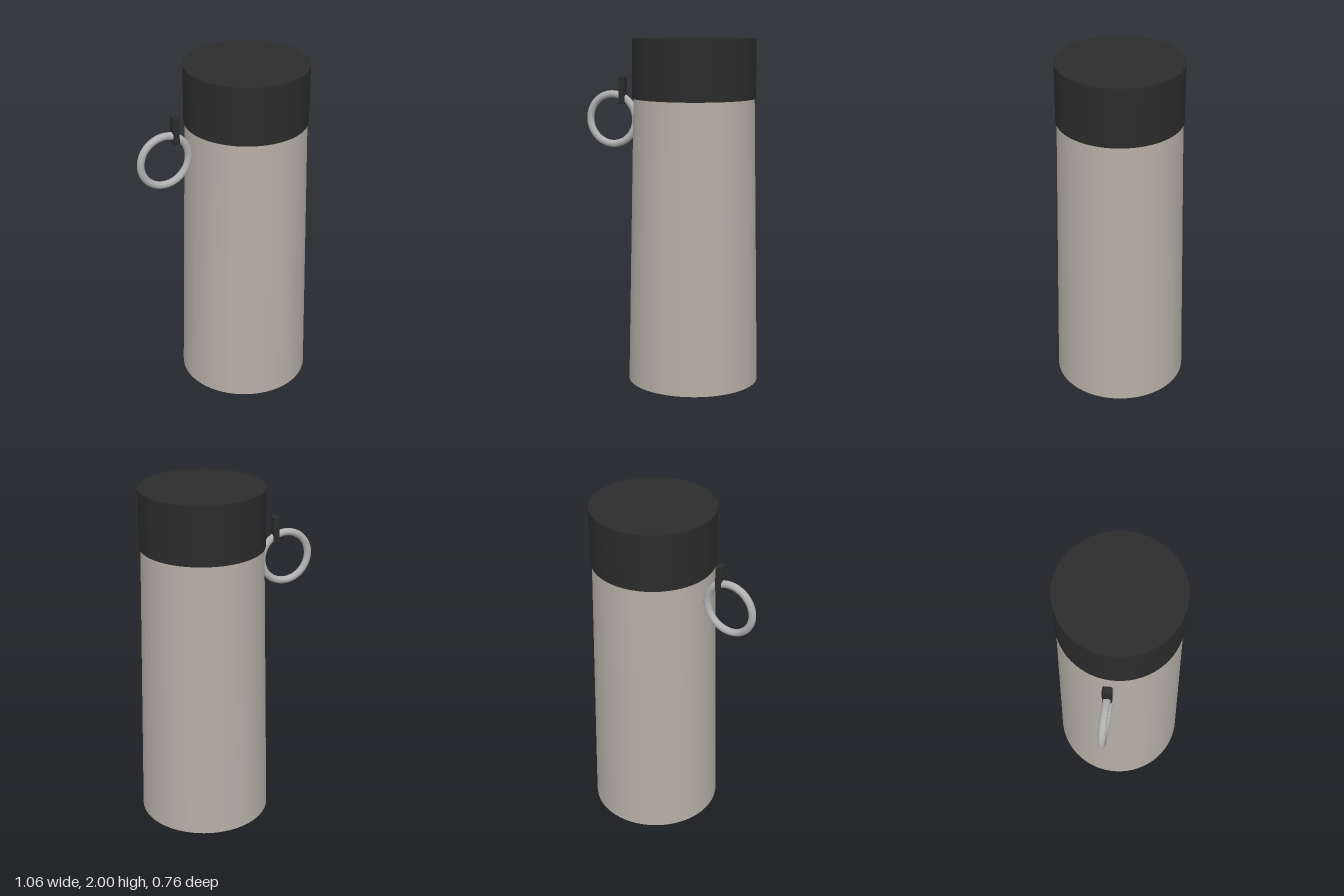
import * as THREE from 'three';
import { RoundedBoxGeometry } from 'three/addons/geometries/RoundedBoxGeometry.js';

const AXIS_X = 0.15; // the flask stands off-centre to leave room for the ring
const SIDES = 64;

function paint(color, flatShading = false) {
  return new THREE.MeshStandardMaterial({ color, flatShading });
}

function addPart(group, name, geometry, material, x, y) {
  const mesh = new THREE.Mesh(geometry, material);
  mesh.name = name;
  mesh.position.set(x, y, 0);
  group.add(mesh);
}

export function createModel() {
  const group = new THREE.Group();
  group.name = 'flask';

  const steel = paint(0xb5aea6, true);
  const black = paint(0x2b2b2b);
  const metal = paint(0xb0b0b0);

  // Tapered body
  addPart(group, 'body', new THREE.CylinderGeometry(0.347, 0.38, 1.66, SIDES), steel, AXIS_X, 0.83);

  // Lid, slightly wider than the neck
  addPart(group, 'lid', new THREE.CylinderGeometry(0.354, 0.354, 0.34, SIDES), black, AXIS_X, 1.83);

  // Carrying ring and the strap tab it hangs from
  addPart(group, 'carryRing', new THREE.TorusGeometry(0.147, 0.021, 16, 64), metal, -0.365, 1.523);
  addPart(group, 'strapTab', new RoundedBoxGeometry(0.037, 0.16, 0.054, 3, 0.008), black, -0.299, 1.695);

  return group;
}
